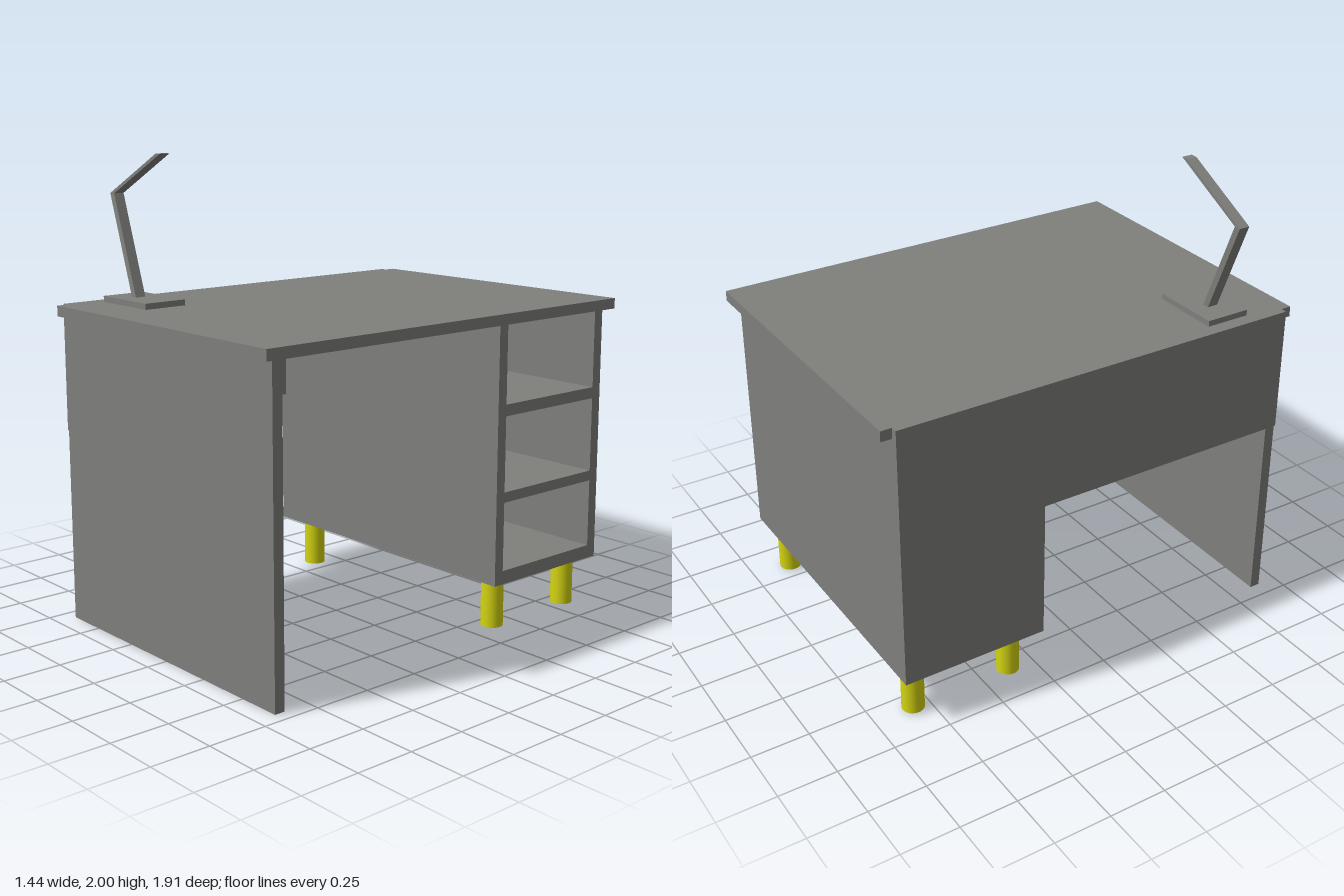
import * as THREE from 'three';

const grey = new THREE.MeshStandardMaterial({ color: 0x7f807c });
const yellow = new THREE.MeshStandardMaterial({ color: 0xd4d412 });

// Box given by its extents along each axis
function box(name, [x0, x1], [y0, y1], [z0, z1]) {
  const mesh = new THREE.Mesh(new THREE.BoxGeometry(x1 - x0, y1 - y0, z1 - z0), grey);
  mesh.name = name;
  mesh.position.set((x0 + x1) / 2, (y0 + y1) / 2, (z0 + z1) / 2);
  return mesh;
}

// Slanted bar with level ends: a box sheared so its ends are centred on a and b
function slantedBar(name, a, b, width, depth) {
  const geo = new THREE.BoxGeometry(width, 1, depth).translate(0, 0.5, 0);
  const pos = geo.attributes.position;
  for (let i = 0; i < pos.count; i++) {
    const c = a.clone().lerp(b, pos.getY(i));
    pos.setXYZ(i, pos.getX(i) + c.x, c.y, pos.getZ(i) + c.z);
  }
  geo.computeVertexNormals();
  const mesh = new THREE.Mesh(geo, grey);
  mesh.name = name;
  return mesh;
}

export function createModel() {
  const desk = new THREE.Group();
  desk.name = 'desk';

  // Top, end panel and back panel
  desk.add(
    box('tabletop', [-0.662, 0.722], [1.331, 1.376], [-0.957, 0.957]),
    box('endPanel', [-0.682, 0.695], [0, 1.331], [0.864, 0.91]),
    box('backPanel', [-0.69, -0.662], [0.835, 1.376], [-0.909, 0.91])
  );

  // Open cabinet with three compartments
  const cabinet = new THREE.Group();
  cabinet.name = 'cabinet';
  cabinet.add(
    box('innerWall', [-0.662, 0.695], [0.227, 1.331], [-0.314, -0.267]),
    box('outerWall', [-0.662, 0.695], [0.227, 1.331], [-0.909, -0.861]),
    box('cabinetBack', [-0.69, -0.65], [0.227, 0.835], [-0.909, -0.267])
  );
  for (const [y0, y1] of [[0.227, 0.285], [0.58, 0.624], [0.946, 0.995]])
    cabinet.add(box('shelf', [-0.662, 0.695], [y0, y1], [-0.861, -0.314]));

  // Round cabinet feet
  const footGeo = new THREE.CylinderGeometry(0.048, 0.048, 0.225, 32);
  for (const x of [-0.58, 0.585])
    for (const z of [-0.372, -0.824]) {
      const foot = new THREE.Mesh(footGeo, yellow);
      foot.name = 'foot';
      foot.position.set(x, 0.1205, z);
      cabinet.add(foot);
    }
  desk.add(cabinet);

  // Desk lamp
  const lamp = new THREE.Group();
  lamp.name = 'lamp';
  const joint = new THREE.Vector3(-0.706, 1.822, 0.62);
  lamp.add(
    box('lampBase', [-0.63, -0.319], [1.376, 1.401], [0.553, 0.75]),
    slantedBar('lowerArm', new THREE.Vector3(-0.511, 1.4, 0.654), joint, 0.03, 0.047),
    slantedBar('upperArm', joint, new THREE.Vector3(-0.362, 2, 0.62), 0.03, 0.047)
  );
  desk.add(lamp);

  return desk;
}
